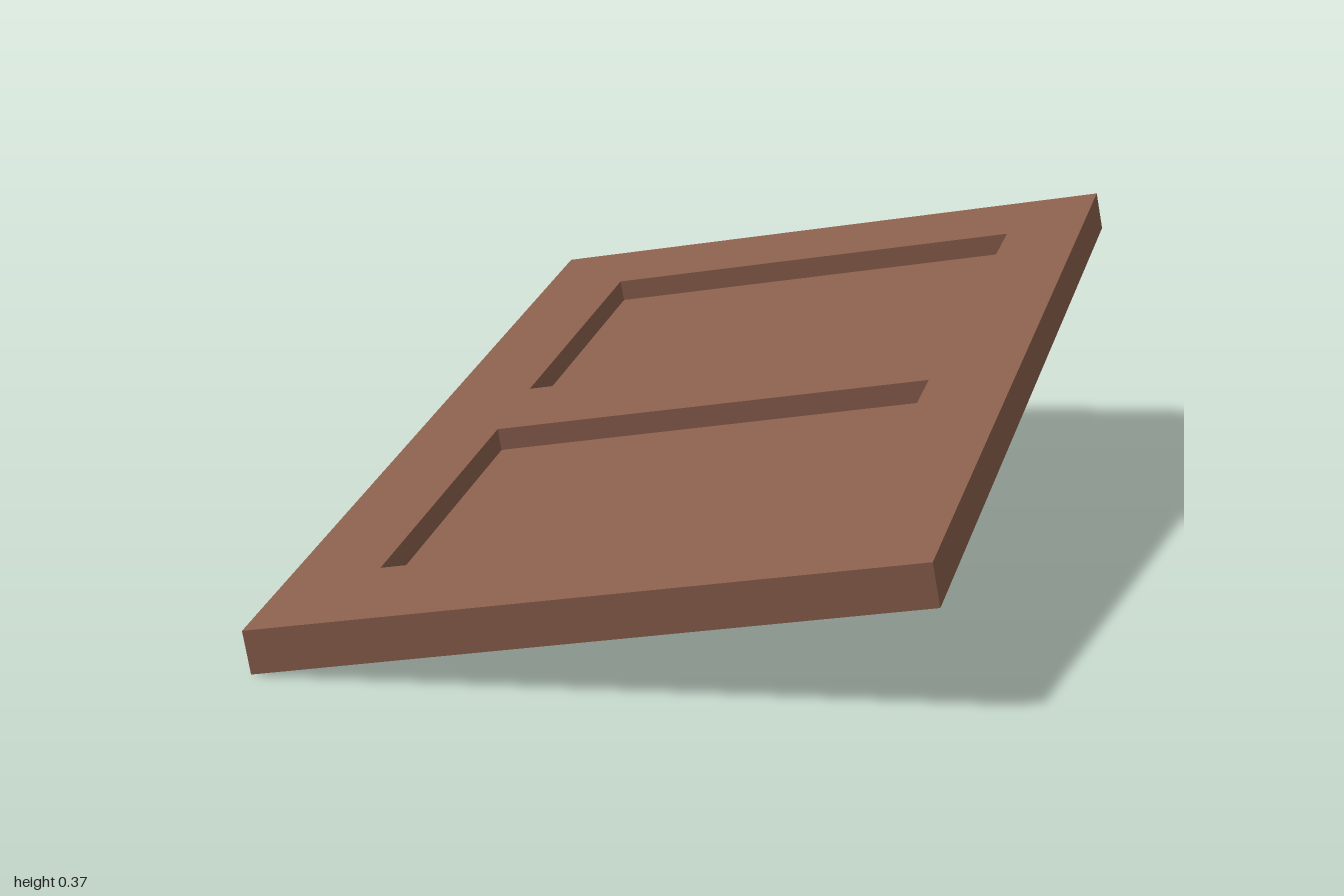
import * as THREE from 'three';

const TILT = Math.atan(0.1877);
const THICKNESS = 0.056;
const RECESS = 0.03;

// Outlines in plan [x, z] on the tilted top face
const OUTLINE = [[-0.855, 0.498], [-0.178, 1.0], [0.843, -0.516], [0.152, -1.0]];
const PANELS = [
  [[-0.646, 0.40], [-0.159, 0.755], [0.18, 0.252], [-0.307, -0.098]],
  [[-0.196, -0.267], [0.297, 0.082], [0.636, -0.416], [0.143, -0.765]],
];

// Plan points to in-plane points of the slab
const toPlane = (points) =>
  points.map(([x, z]) => new THREE.Vector2(x / Math.cos(TILT), -z));

// Slab of the outline between two heights, with optional openings
function slab(name, bottom, top, holes, material) {
  const shape = new THREE.Shape(toPlane(OUTLINE));
  for (const hole of holes) shape.holes.push(new THREE.Path(toPlane(hole)));
  const geometry = new THREE.ExtrudeGeometry(shape, { depth: top - bottom, bevelEnabled: false });
  geometry.rotateX(-Math.PI / 2).translate(0, bottom, 0);
  const mesh = new THREE.Mesh(geometry, material);
  mesh.name = name;
  return mesh;
}

export function createModel() {
  const model = new THREE.Group();
  model.name = 'panelledDoor';
  const wood = new THREE.MeshStandardMaterial({ color: 0x8b5f4d, flatShading: true });

  // Door leaf: solid back board and a front frame with two sunken panels
  const leaf = new THREE.Group();
  leaf.name = 'doorLeaf';
  leaf.add(slab('backBoard', -THICKNESS, -RECESS, [], wood));
  leaf.add(slab('panelFrame', -RECESS, 0, PANELS, wood));

  // Lean the leaf so its lowest corner touches the ground
  leaf.rotation.z = TILT;
  leaf.position.y = 0.2155;
  model.add(leaf);
  return model;
}
